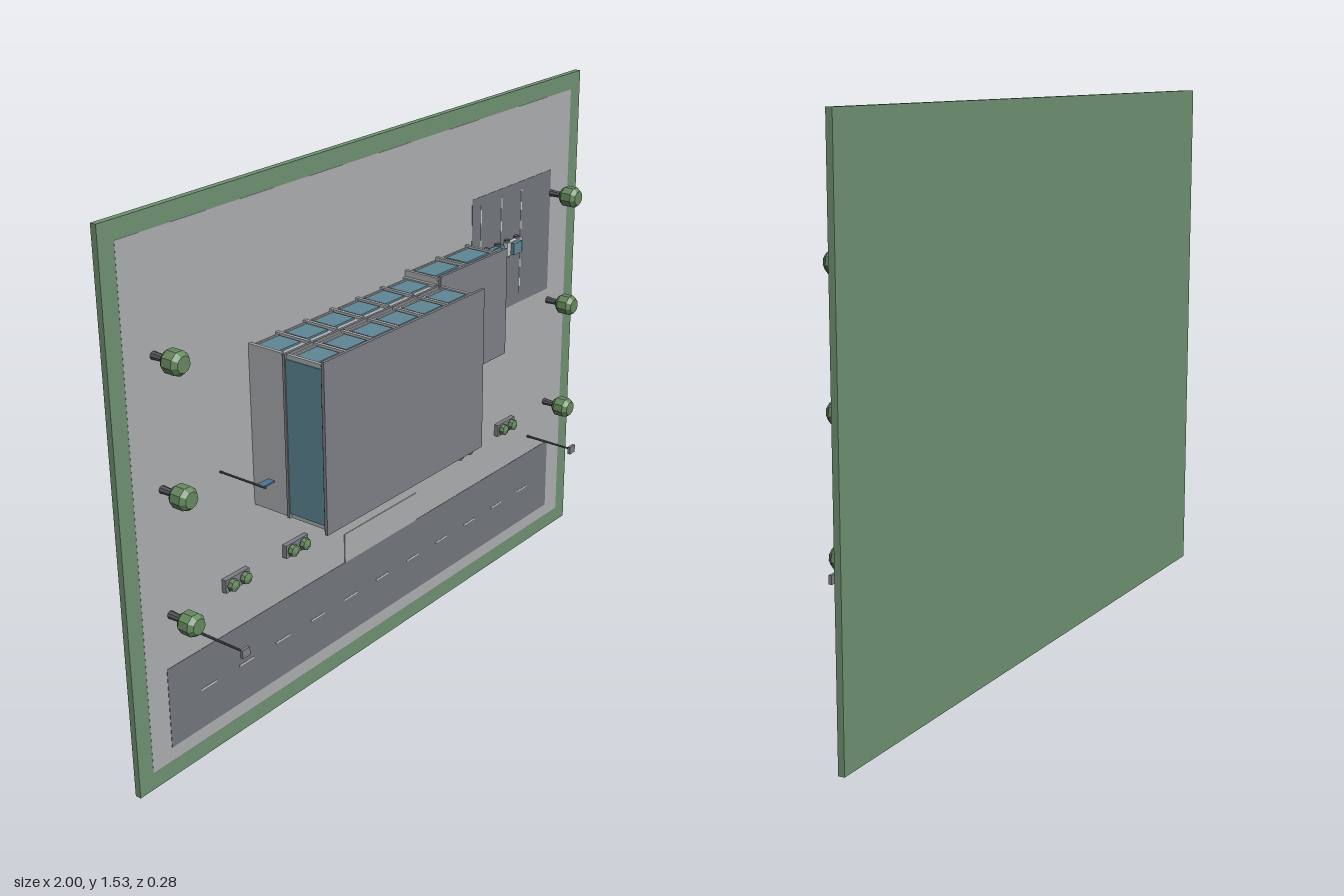
import * as THREE from 'three';

const mat = (name, color) => {
  const m = new THREE.MeshStandardMaterial({ color });
  m.name = name;
  return m;
};

export function createModel() {
  const root = new THREE.Group();
  root.name = 'campusSite';
  const grass = mat('grass', 0x6f9272);
  const leaf = mat('foliage', 0x66885f);
  const concrete = mat('concrete', 0xabaeaf);
  const asphalt = mat('asphalt', 0x73777d);
  const roofGrey = mat('roof', 0x7e8086);
  const glass = mat('glass', 0x5f8796);
  const dark = mat('darkMetal', 0x55595f);
  const white = mat('paint', 0xc9cccc);
  const blue = mat('flagBlue', 0x4a7396);
  const G = -0.121; // ground surface; the site rises towards +z

  const group = (name, parent = root) => {
    const g = new THREE.Group();
    g.name = name;
    parent.add(g);
    return g;
  };
  // Box given by its ranges
  const box = (name, m, x0, x1, y0, y1, z0, z1, parent = root) => {
    const b = new THREE.Mesh(new THREE.BoxGeometry(x1 - x0, y1 - y0, z1 - z0), m);
    b.position.set((x0 + x1) / 2, (y0 + y1) / 2, (z0 + z1) / 2);
    b.name = name;
    parent.add(b);
    return b;
  };
  // Upright profile [radius, height] standing on the ground
  const lathe = (name, m, pts, sides, x, y, parent) => {
    const geo = new THREE.LatheGeometry(pts.map(p => new THREE.Vector2(p[0], p[1])), sides).toNonIndexed();
    geo.computeVertexNormals();
    const l = new THREE.Mesh(geo, m);
    l.rotation.x = Math.PI / 2;
    l.position.set(x, y, G);
    l.name = name;
    parent.add(l);
  };

  // Ground, paving, road and car park
  box('ground', grass, -1, 1, 0, 1.53, -0.139, G);
  box('paving', concrete, -0.95, 0.95, 0.05, 1.48, G - 0.004, G + 0.0005);
  box('road', asphalt, -0.88, 0.88, 0.09, 0.325, G - 0.004, G + 0.0015);
  box('carPark', asphalt, 0.435, 0.85, 0.865, 1.25, G - 0.004, G + 0.0015);
  box('entranceWalk', concrete, -0.17, 0.165, 0.325, 0.415, G - 0.004, G + 0.003);
  for (let i = -5; i <= 5; i++)
    box('roadDash', white, i * 0.147 - 0.029, i * 0.147 + 0.029, 0.203, 0.208, G, G + 0.0025);
  for (const x of [0.48, 0.585, 0.69])
    box('parkingLine', white, x - 0.002, x + 0.002, 0.895, 1.225, G, G + 0.0025);

  // Row of windows with frames and pillars on the two long walls
  const windowRow = (parent, x0, x1, y0, y1, z0, z1, count, ratio, skip = []) => {
    const pitch = (x1 - x0) / count;
    for (const [y, s] of [[y0, -1], [y1, 1]]) {
      const span = d => [Math.min(y, y + s * d), Math.max(y, y + s * d)];
      for (let i = 0; i < count; i++) {
        if (s < 0 && skip.includes(i)) continue;
        const c = x0 + (i + 0.5) * pitch, w = pitch * ratio / 2;
        box('window', glass, c - w, c + w, ...span(0.005), z0, z1, parent);
        box('windowSill', concrete, c - w, c + w, ...span(0.007), z0 - 0.006, z0, parent);
      }
      for (let i = 0; i <= count; i++) {
        const c = THREE.MathUtils.clamp(x0 + i * pitch, x0 + 0.005, x1 - 0.005);
        box('pillar', concrete, c - 0.005, c + 0.005, ...span(0.008), z0 - 0.02, z1 + 0.02, parent);
      }
    }
  };
  // Dark canopy, door and step at an entrance
  const entrance = (parent, x0, x1, yWall, depth) => {
    box('canopy', roofGrey, x0, x1, yWall - depth, yWall, -0.017, -0.006, parent);
    box('step', concrete, x0 + 0.012, x1 - 0.015, yWall - depth - 0.028, yWall, G, G + 0.006, parent);
    const c = (x0 + x1) / 2;
    box('door', glass, c - 0.05, c + 0.05, yWall - 0.006, yWall + 0.01, G + 0.006, -0.035, parent);
    box('doorPost', dark, c - 0.002, c + 0.002, yWall - 0.008, yWall, G + 0.006, -0.035, parent);
  };

  // Main two-storey building
  const main = group('mainBuilding');
  box('walls', concrete, -0.53, 0.115, 0.663, 1.097, G, 0.127, main);
  box('floorSlab', roofGrey, -0.536, 0.121, 0.654, 1.106, -0.003, 0.005, main);
  box('roofSlab', dark, -0.536, 0.121, 0.654, 1.106, 0.122, 0.13, main);
  box('roof', roofGrey, -0.545, 0.13, 0.65, 1.12, 0.13, 0.139, main);
  windowRow(main, -0.53, 0.115, 0.663, 1.097, -0.1, -0.03, 6, 0.76, [2, 3]);
  windowRow(main, -0.53, 0.115, 0.663, 1.097, 0.027, 0.097, 6, 0.76);
  for (const x of [-0.533, 0.115])
    box('sideGlazing', glass, x, x + 0.003, 0.667, 1.093, 0.005, 0.122, main);
  entrance(main, -0.31, -0.105, 0.663, 0.09);

  // Single-storey wing
  const wing = group('wing');
  box('walls', concrete, 0.115, 0.407, 0.825, 1.115, G, 0.003, wing);
  box('roof', roofGrey, 0.105, 0.425, 0.81, 1.133, 0.003, 0.012, wing);
  windowRow(wing, 0.115, 0.41, 0.825, 1.115, -0.1, -0.03, 2, 0.74, [1]);
  box('sideGlazing', glass, 0.407, 0.41, 0.83, 1.11, -0.063, 0.002, wing);
  entrance(wing, 0.19, 0.335, 0.825, 0.09);

  // Trees along both sides
  for (const x of [-0.855, 0.855]) for (const y of [0.475, 0.825, 1.175]) {
    const tree = group('tree');
    tree.name = 'tree';
    lathe('trunk', dark, [[0.011, 0], [0.009, 0.05]], 8, x, y, tree);
    lathe('crown', leaf, [[0, 0.044], [0.022, 0.044], [0.032, 0.056], [0.032, 0.088], [0.022, 0.101], [0, 0.101]], 9, x, y, tree);
  }

  // Planters with two shrubs each
  for (const x of [-0.622, -0.385, 0.38, 0.617]) {
    const planter = group('planter');
    box('planterBox', roofGrey, x - 0.045, x + 0.045, 0.454, 0.492, G, G + 0.015, planter);
    for (const d of [-0.024, 0.024])
      lathe('shrub', leaf, [[0.012, 0.01], [0.018, 0.018], [0.016, 0.03], [0, 0.036]], 8, x + d, 0.473, planter);
  }

  // Street lamps
  for (const x of [-0.767, 0.762]) {
    const lamp = group('streetLamp');
    lathe('lampPole', dark, [[0.004, 0], [0.003, 0.165]], 8, x, 0.384, lamp);
    box('lampHead', roofGrey, x - 0.014, x + 0.014, 0.372, 0.396, 0.043, 0.052, lamp);
  }

  // Flag on its pole
  const flag = group('flagpole');
  lathe('pole', dark, [[0.003, 0], [0.003, 0.155], [0, 0.157]], 8, -0.652, 0.795, flag);
  box('flag', blue, -0.651, -0.61, 0.793, 0.797, 0.004, 0.027, flag);

  // Parked cars
  const car = (x, paint, len) => {
    const c = group('car');
    const h = len / 2, y = 1.062;
    box('body', paint, x - h, x + h, y - 0.021, y + 0.021, G + 0.007, G + 0.022, c);
    box('cabin', glass, x - h * 0.55, x + h * 0.5, y - 0.018, y + 0.018, G + 0.022, G + 0.034, c);
    for (const dx of [-0.62, 0.62]) for (const s of [-1, 1]) {
      const w = new THREE.Mesh(new THREE.CylinderGeometry(0.009, 0.009, 0.008, 10), dark);
      w.position.set(x + dx * h, y + s * 0.023, G + 0.009);
      w.name = 'wheel';
      c.add(w);
    }
  };
  car(0.527, glass, 0.094);
  car(0.631, white, 0.082);

  return root;
}
